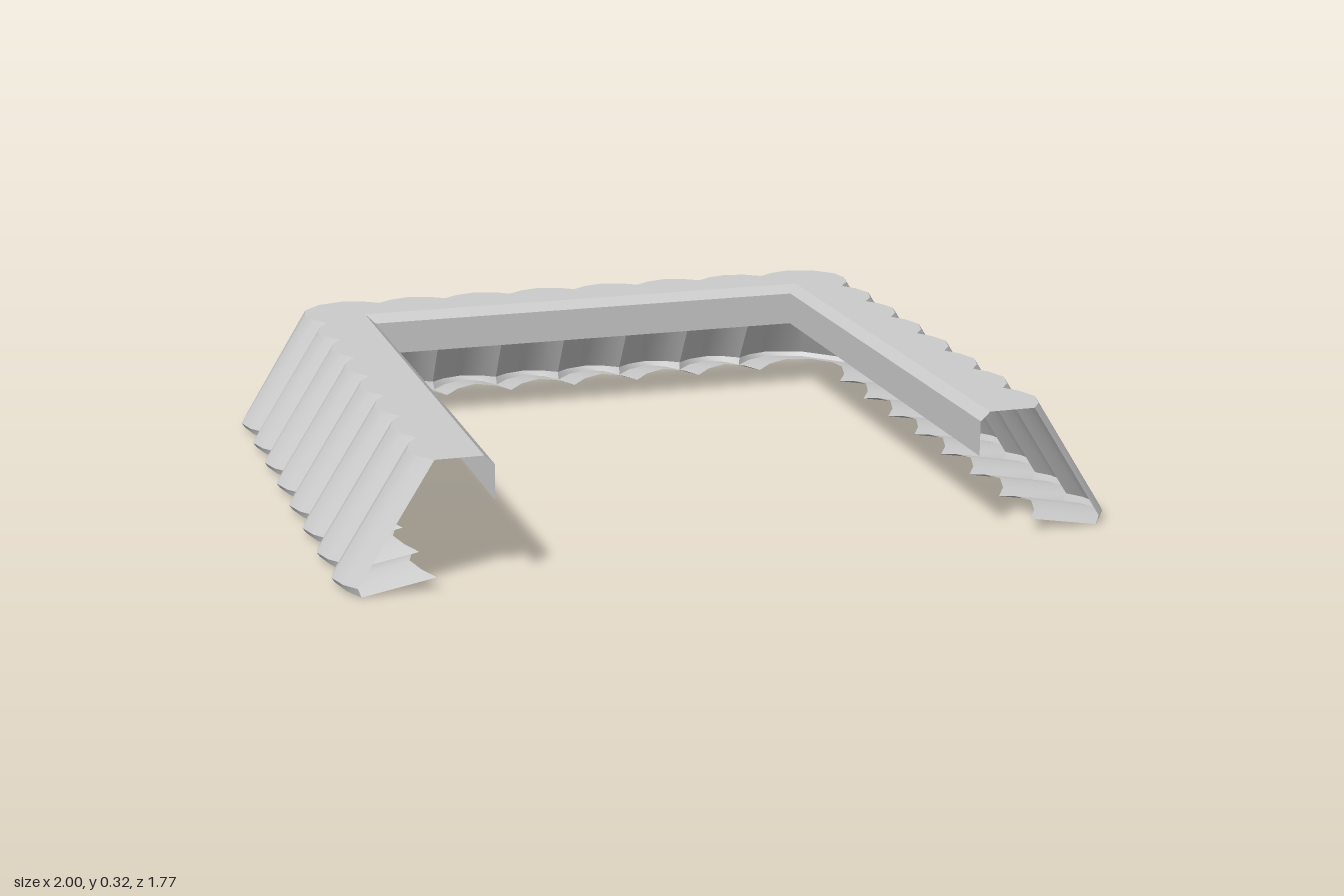
import * as THREE from 'three';
import { toCreasedNormals } from 'three/addons/utils/BufferGeometryUtils.js';

const PITCH = 0.193, DEPTH = 0.045, INSET = 0.19;
const FRONT = 0.885, LEG_VALLEY = 0.955, BACK_VALLEY = -0.845;
// one scallop: [position along its width, bulge], the last point belongs to the next scallop
const SCALLOP = [[0, 0], [0.2, 0.62], [0.5, 1], [0.8, 0.62]];

// Outline stations: foot (x, z), head (x, z) and bulge (0 valley, 1 crest)
function makeOutline() {
  const half = [];
  for (let i = 0; i < 7; i++) {
    for (const [t, b] of SCALLOP) {
      const x = LEG_VALLEY + DEPTH * b, z = FRONT - (i + t) * PITCH;
      half.push({ foot: [x, z], head: [x - INSET, z], b });
    }
  }
  // broad bevelled corner
  const corner = [
    [0.955, -0.467, 0.765, -0.467, 0], [0.985, -0.51, 0.795, -0.51, 0.62],
    [1, -0.57, 0.81, -0.57, 1], [0.97, -0.67, 0.8, -0.625, 1],
    [0.785, -0.86, 0.75, -0.68, 1], [0.68, -0.89, 0.68, -0.7, 1],
    [0.62, -0.873, 0.62, -0.683, 0.62],
  ];
  for (const [fx, fz, hx, hz, b] of corner) half.push({ foot: [fx, fz], head: [hx, hz], b });
  for (let i = 0; i < 3; i++) {
    for (const [t, b] of SCALLOP) {
      const x = (3 - i - t) * PITCH, z = BACK_VALLEY - DEPTH * b;
      half.push({ foot: [x, z], head: [x, z + INSET], b });
    }
  }
  const centre = { foot: [0, BACK_VALLEY], head: [0, BACK_VALLEY + INSET], b: 0 };
  const mirrored = half.map(({ foot, head, b }) =>
    ({ foot: [-foot[0], foot[1]], head: [-head[0], head[1]], b })).reverse();
  return [...half, centre, ...mirrored];
}

// Nearest point on the straight inner U that a station looks at
function onInnerEdge([x, z], halfWidth, backZ, y) {
  const onLeg = z > backZ;
  const px = onLeg ? Math.sign(x) * halfWidth : THREE.MathUtils.clamp(x, -halfWidth, halfWidth);
  return new THREE.Vector3(px, y, Math.max(z, backZ));
}

// Skin a strip through the cross-section of every station
function loft(name, stations, section, crease, material) {
  const rows = stations.map(section), pos = [];
  const tri = new THREE.Triangle();
  const add = (a, b, c) => {
    if (tri.set(a, b, c).getArea() > 1e-8) for (const p of [a, b, c]) pos.push(p.x, p.y, p.z);
  };
  for (let i = 0; i < rows.length - 1; i++) {
    for (let j = 0; j < rows[i].length - 1; j++) {
      const a = rows[i][j], b = rows[i][j + 1], c = rows[i + 1][j], d = rows[i + 1][j + 1];
      add(a, b, c);
      add(b, d, c);
    }
  }
  const geometry = new THREE.BufferGeometry();
  geometry.setAttribute('position', new THREE.Float32BufferAttribute(pos, 3));
  const mesh = new THREE.Mesh(toCreasedNormals(geometry, crease), material);
  mesh.name = name;
  return mesh;
}

export function createModel() {
  const group = new THREE.Group();
  group.name = 'scallopedSkirt';
  const material = new THREE.MeshStandardMaterial({ color: 0xcccccc, side: THREE.DoubleSide });
  const outline = makeOutline();
  const at = ([x, z], y) => new THREE.Vector3(x, y, z);
  // rim edge sits a little inside the foot of the wall
  const rim = ({ foot: [x, z], b }) => at([x * 0.992, z < -0.6 ? z * 0.992 : z], 0.01 * b);

  // hanging inner lip, its chamfer and the flat top
  group.add(loft('topTrim', outline, (s) => [
    onInnerEdge(s.head, 0.62, -0.51, 0.21),
    onInnerEdge(s.head, 0.62, -0.51, 0.3),
    onInnerEdge(s.head, 0.645, -0.535, 0.323),
    at(s.head, 0.323),
  ], 0.3, material));

  // sloping scalloped wall
  group.add(loft('scallopedWall', outline, (s) => [at(s.head, 0.323), at(s.foot, 0.022)], 0.6, material));

  // thin rim and the flange turned inward, rising towards its inner edge
  group.add(loft('bottomFlange', outline, (s) => [
    at(s.foot, 0.022),
    rim(s),
    at(s.head, 0.032 + 0.015 * s.b),
  ], 0.6, material));

  return group;
}
